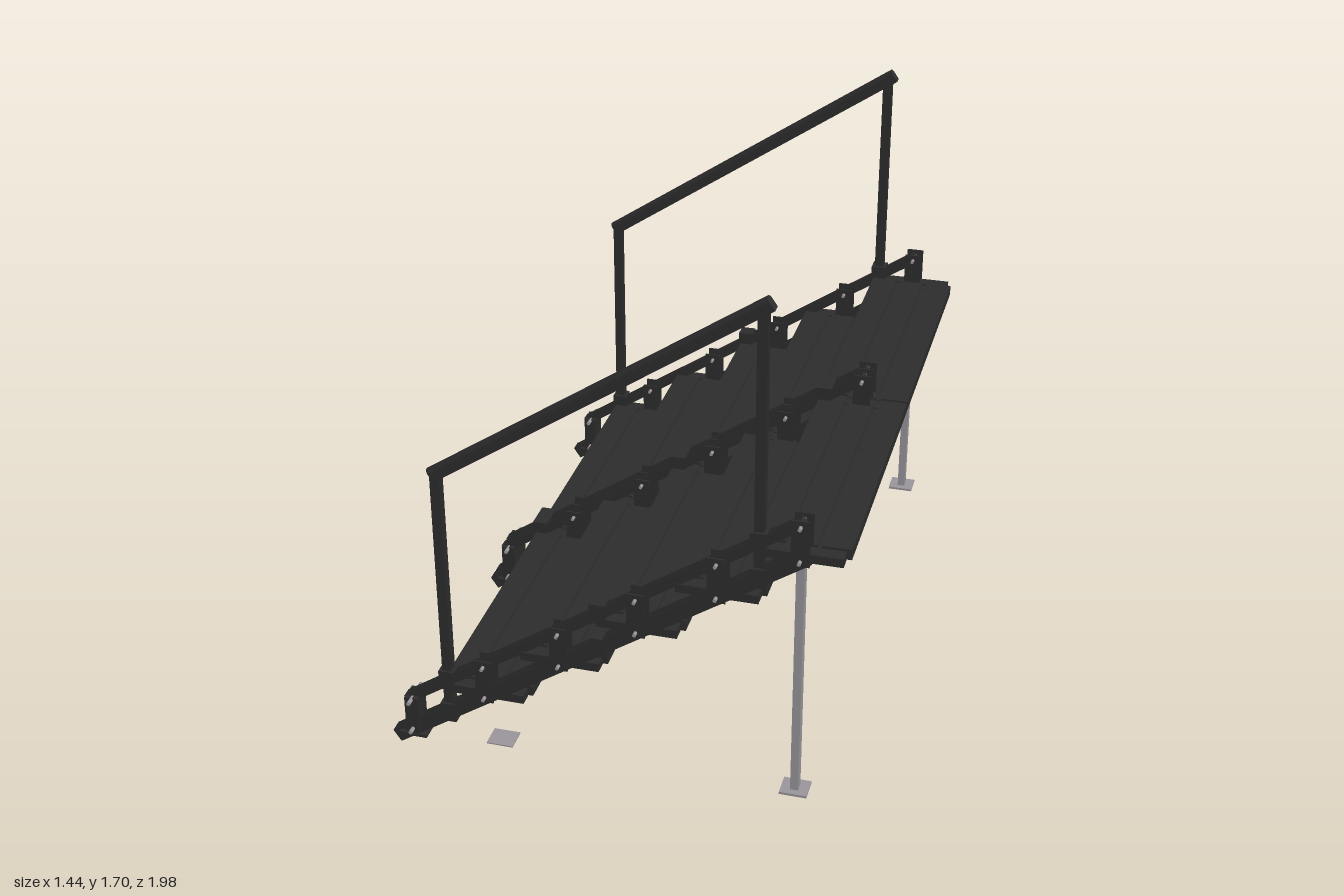
import * as THREE from 'three';

const dark = new THREE.MeshStandardMaterial({ color: 0x2d2d2d });
dark.name = 'charcoal';
const steel = new THREE.MeshStandardMaterial({ color: 0x9c989e });
steel.name = 'galvanisedSteel';

const RUN = 0.245, RISE = 0.165, STEPS = 5;
const SLOPE = RISE / RUN;
const FIRST_X = -0.4;
const lowerY = x => 0.228 + (x - FIRST_X) * SLOPE;
const upperY = x => lowerY(x) + 0.118;

function add(parent, name, geometry, material, x, y, z) {
  const mesh = new THREE.Mesh(geometry, material);
  mesh.name = name;
  mesh.position.set(x, y, z);
  parent.add(mesh);
  return mesh;
}

function box(parent, name, w, h, d, x, y, z, material = dark) {
  return add(parent, name, new THREE.BoxGeometry(w, h, d), material, x, y, z);
}

// Straight bar between two points in the side plane
function beam(parent, name, x0, y0, x1, y1, h, d) {
  const bar = box(parent, name, Math.hypot(x1 - x0, y1 - y0), h, d, (x0 + x1) / 2, (y0 + y1) / 2, 0);
  bar.rotation.z = Math.atan2(y1 - y0, x1 - x0);
  return bar;
}

// Cross bolt through a rail
function bolt(parent, x, y, length = 0.09, r = 0.006) {
  const pin = add(parent, 'bolt', new THREE.CylinderGeometry(r, r, length, 8), steel, x, y, 0);
  pin.rotation.x = Math.PI / 2;
}

// Two side plates clasping the rails
function sidePlates(parent, name, w, h, x, y) {
  for (const s of [-1, 1]) box(parent, name, w, h, 0.006, x, y, s * 0.025);
}

function createStringer(outer) {
  const g = new THREE.Group();
  g.name = outer ? 'outerStringer' : 'innerStringer';

  beam(g, 'lowerRail', -0.705, lowerY(-0.705), 0.6, lowerY(0.6), 0.046, 0.044);
  beam(g, 'upperRail', -0.665, upperY(-0.665), 0.585, upperY(0.585), 0.03, 0.036);

  // Foot at the bottom end
  box(g, 'footPost', 0.045, 0.135, 0.066, -0.645, 0.118, 0);
  box(g, 'footPlate', 0.09, 0.01, 0.072, -0.645, 0.048, 0);
  bolt(g, -0.645, 0.07, 0.112, 0.007);
  bolt(g, -0.645, 0.18, 0.112, 0.007);

  // Tread hangers and arms
  for (let i = 0; i < STEPS; i++) {
    const x = FIRST_X + i * RUN, y = lowerY(x);
    sidePlates(g, 'treadHanger', 0.056, 0.15, x, y + 0.062);
    box(g, 'treadArm', 0.25, 0.028, 0.044, x, y + 0.014, 0);
    bolt(g, x, y + 0.004);
    bolt(g, x, y + 0.118);
  }

  // Rail clamps
  for (const x of [-0.525, -0.03, 0.457]) {
    box(g, 'upperClamp', 0.05, 0.065, 0.05, x, upperY(x) + 0.008, 0);
    box(g, 'lowerClamp', 0.05, 0.065, 0.05, x, lowerY(x) + 0.005, 0);
  }
  return g;
}

// Handrail with a rounded top edge
function createHandrail() {
  const g = new THREE.Group();
  g.name = 'handrail';
  for (const [x, y0, y1] of [[-0.525, 0.12, 1.0], [0.457, 0.78, 1.66]]) {
    box(g, 'handrailPost', 0.03, y1 - y0, 0.032, x, (y0 + y1) / 2, 0);
  }
  const x0 = -0.54, y0 = 0.995, x1 = 0.478, y1 = 1.682;
  const section = new THREE.Shape();
  section.moveTo(-0.016, -0.022);
  section.lineTo(0.016, -0.022);
  section.lineTo(0.016, 0.006);
  section.absarc(0, 0.006, 0.016, 0, Math.PI);
  section.closePath();
  const length = Math.hypot(x1 - x0, y1 - y0);
  const geometry = new THREE.ExtrudeGeometry(section, { depth: length, bevelEnabled: false, curveSegments: 8 });
  geometry.rotateY(Math.PI / 2);
  const rail = add(g, 'gripRail', geometry, dark, x0, y0, 0);
  rail.rotation.z = Math.atan2(y1 - y0, x1 - x0);
  return g;
}

// Support leg with its base plate
function createLeg() {
  const g = new THREE.Group();
  g.name = 'supportLeg';
  box(g, 'legTube', 0.025, 0.82, 0.034, 0.58, 0.472, 0, steel);
  box(g, 'legBase', 0.085, 0.008, 0.075, 0.58, 0.064, 0, steel);
  return g;
}

// Ribbed tread plank section, extruded across the width
function treadGeometry(length) {
  const s = new THREE.Shape();
  const half = 0.14, top = 0.034, groove = 0.024, ribs = 3, w = (2 * half) / ribs;
  s.moveTo(-half, 0);
  s.lineTo(half, 0);
  s.lineTo(half, top);
  for (let i = 1; i < ribs; i++) {
    const x = half - i * w;
    s.lineTo(x + 0.008, top);
    s.lineTo(x + 0.005, groove);
    s.lineTo(x - 0.005, groove);
    s.lineTo(x - 0.008, top);
  }
  s.lineTo(-half, top);
  s.closePath();
  const geometry = new THREE.ExtrudeGeometry(s, { depth: length, bevelEnabled: false });
  geometry.translate(0, 0, -length / 2);
  return geometry;
}

export function createModel() {
  const model = new THREE.Group();
  model.name = 'twinFlightStairs';

  // Two flights side by side, mirrored about the middle seam
  const seam = 0.01;
  const tread = treadGeometry(0.905);
  for (const s of [-1, 1]) {
    const flight = new THREE.Group();
    flight.name = s > 0 ? 'frontFlight' : 'backFlight';
    const parts = [
      [createStringer(true), 0.935],
      [createStringer(false), 0.025],
      [createHandrail(), 0.935],
      [createLeg(), 0.935],
    ];
    for (const [part, z] of parts) {
      part.position.z = seam + s * z;
      flight.add(part);
    }
    for (let i = 0; i < STEPS; i++) {
      const x = FIRST_X + i * RUN;
      add(flight, 'tread', tread, dark, x, lowerY(x), seam + s * 0.4575);
    }
    model.add(flight);
  }

  // Thin ground pads beneath the lower end
  for (const z of [-0.935, 0, 0.935]) {
    box(model, 'groundPad', 0.085, 0.004, 0.075, -0.355, 0.066, seam + z, steel);
  }
  return model;
}
